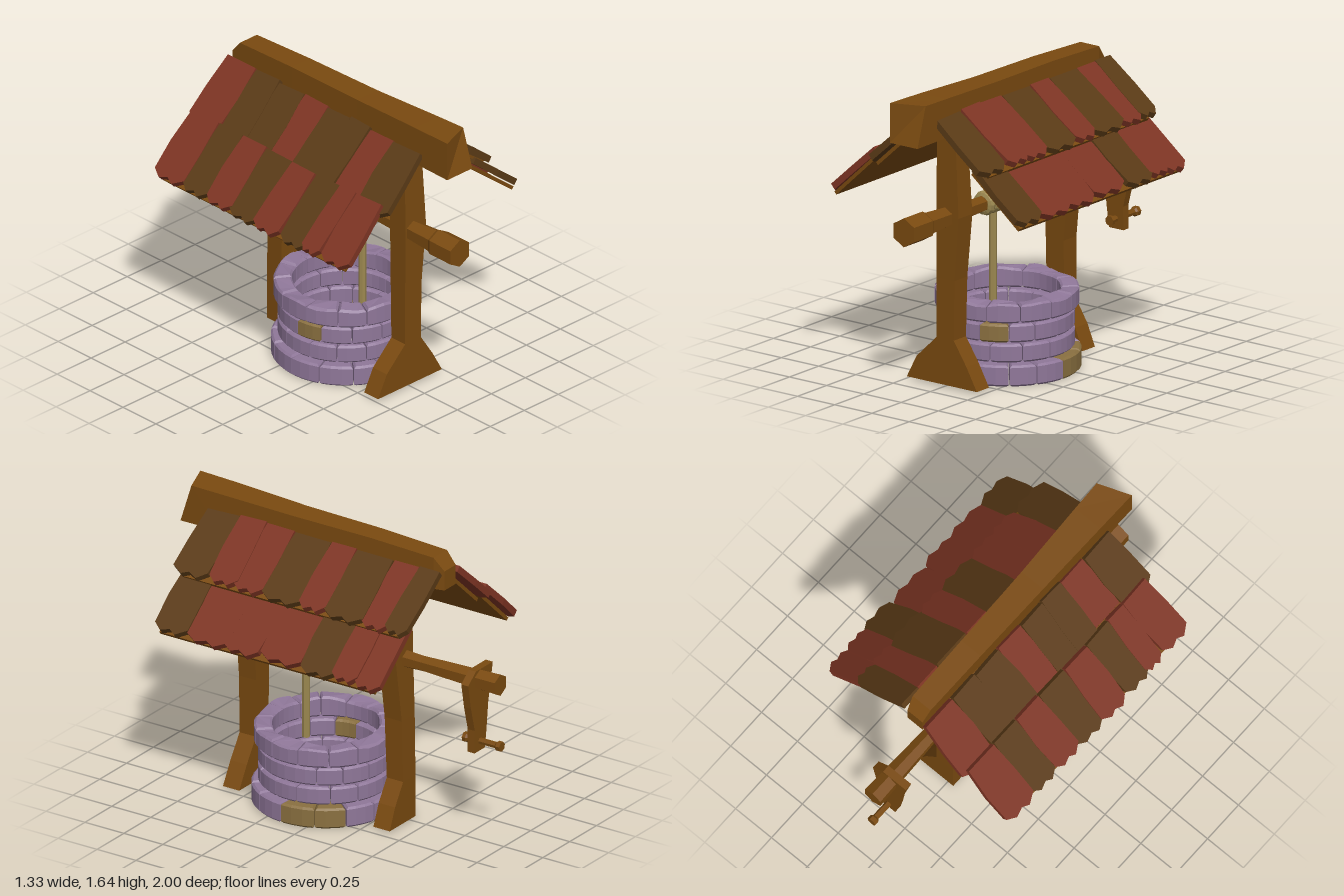
import * as THREE from 'three';

const mat = (color) => new THREE.MeshStandardMaterial({ color, flatShading: true, side: THREE.DoubleSide });
const WOOD = mat(0x7a4a10), RED = mat(0x7d3423), BROWN = mat(0x5a3a16);
const STONE = mat(0x8f7799), OCHRE = mat(0x8a7040), ROPE = mat(0x9c8850);

// Small seeded jitter in -1..1
let seed = 7;
const jitter = () => {
  seed = (seed * 16807) % 2147483647;
  return (seed / 2147483647) * 2 - 1;
};

function add(parent, name, geometry, material) {
  const mesh = new THREE.Mesh(geometry, material);
  mesh.name = name;
  parent.add(mesh);
  return mesh;
}

// Four-sided bar through stations [y, x0, x1, z0, z1]
function bar(stations) {
  const n = stations.length - 1;
  const g = new THREE.BoxGeometry(1, 1, 1, 1, n, 1);
  const p = g.attributes.position;
  for (let i = 0; i < p.count; i++) {
    const [y, x0, x1, z0, z1] = stations[Math.round((p.getY(i) + 0.5) * n)];
    p.setXYZ(i, p.getX(i) < 0 ? x0 : x1, y, p.getZ(i) < 0 ? z0 : z1);
  }
  return g;
}

// Bevelled curved stone between angles a0 and a1, measured from the front
function brick(a0, a1, rIn, rOut, y0, y1) {
  const pts = [];
  const arc = (r, from, to) => {
    for (let i = 0; i <= 3; i++) {
      const a = from + ((to - from) * i) / 3;
      pts.push(new THREE.Vector2(r * Math.sin(a), -r * Math.cos(a)));
    }
  };
  arc(rOut, a0, a1);
  arc(rIn, a1, a0);
  const b = 0.011;
  const g = new THREE.ExtrudeGeometry(new THREE.Shape(pts), {
    depth: y1 - y0 - 2 * b, bevelThickness: b, bevelSize: b, bevelOffset: -b, bevelSegments: 1,
  });
  return g.rotateX(-Math.PI / 2).translate(0, y0 + b, 0);
}

function makeWell() {
  const well = new THREE.Group();
  well.name = 'stoneWell';
  well.position.set(0.025, 0, 0.125);
  const courses = [[0, 0.115, 0.395], [0.122, 0.222, 0.36], [0.232, 0.332, 0.36], [0.345, 0.45, 0.382]];
  const ochre = [[3, 4], [], [0, 10], []];
  const n = 14, step = (Math.PI * 2) / n;
  courses.forEach(([y0, y1, r], row) => {
    const shift = row % 2 ? 0.5 : 0;
    const cuts = Array.from({ length: n }, (_, i) => (i + shift + 0.45 + jitter() * 0.12) * step);
    for (let i = 0; i < n; i++) {
      const end = i + 1 < n ? cuts[i + 1] : cuts[0] + Math.PI * 2;
      const g = brick(cuts[i] + 0.008, end - 0.008, 0.285, r, y0, y1);
      if (row === 3) { // uneven rim
        const p = g.attributes.position;
        for (let k = 0; k < p.count; k++) {
          if (p.getY(k) > 0.4) {
            p.setY(k, p.getY(k) + 0.012 * Math.sin(19 * p.getX(k) + 3) * Math.cos(17 * p.getZ(k)));
          }
        }
      }
      add(well, 'brick', g, ochre[row].includes(i) ? OCHRE : STONE);
    }
  });
  return well;
}

// Puts a flat slope piece in place: local x runs down the slope, local z is its outward normal
function placeOnSlope(g, [x0, y0], [x1, y1], z) {
  const u = new THREE.Vector3(x1 - x0, y1 - y0, 0).normalize();
  const v = new THREE.Vector3(0, 0, x1 > x0 ? -1 : 1);
  const m = new THREE.Matrix4().makeBasis(u, v, u.clone().cross(v)).setPosition(x0, y0, z);
  return g.applyMatrix4(m);
}

// Shingle with bowed sides and a ragged lower edge
function shingle(L, w) {
  const h = w / 2, k = jitter() * 0.008;
  const s = new THREE.Shape([
    [0, -h * 0.92], [L * 0.5, -h * 1.04], [L * 0.93, -h + k], [L * 1.02, -h * 0.45],
    [L * 0.97, k], [L * 1.03, h * 0.45], [L * 0.92, h + k], [L * 0.5, h * 1.02], [0, h * 0.92],
  ].map(([x, y]) => new THREE.Vector2(x, y)));
  return new THREE.ExtrudeGeometry(s, { depth: 0.036, bevelEnabled: false });
}

function makeRoof() {
  const roof = new THREE.Group();
  roof.name = 'roof';
  // Rows: top point, bottom point, colours from back to front, dividing lines in z
  const rows = [
    { a: [0.08, 1.51], b: [0.41, 1.265], c: 'brbrbrrb', z: [-0.66, -0.53, -0.37, -0.13, 0.03, 0.27, 0.45, 0.62, 0.83] },
    { a: [0.31, 1.275], b: [0.625, 1.02], c: 'rrbrrrb', z: [-0.63, -0.48, -0.33, -0.12, 0.13, 0.35, 0.6, 0.8] },
    { a: [-0.05, 1.475], b: [-0.34, 1.21], c: 'rbbrbbrb', z: [-0.67, -0.45, -0.27, -0.08, 0.1, 0.27, 0.42, 0.6, 0.81] },
    { a: [-0.33, 1.265], b: [-0.62, 0.995], c: 'rbrbrbrr', z: [-0.65, -0.44, -0.26, -0.08, 0.12, 0.3, 0.48, 0.6, 0.79] },
  ];
  for (const { a, b, c, z } of rows) {
    const L = Math.hypot(b[0] - a[0], b[1] - a[1]);
    [...c].forEach((tone, i) => {
      const g = shingle(L, z[i + 1] - z[i] + 0.008);
      g.rotateZ(jitter() * 0.04).translate(jitter() * 0.008, 0, 0.005 + jitter() * 0.006);
      placeOnSlope(g, a, b, (z[i] + z[i + 1]) / 2);
      add(roof, 'shingle', g, tone === 'r' ? RED : BROWN);
    });
    // backing board beneath each row
    const board = new THREE.BoxGeometry(L, 1.38, 0.02).translate(L / 2, 0, -0.008);
    add(roof, 'roofBoard', placeOnSlope(board, a, b, 0.09), WOOD);
  }
  // Stations along z; the depth columns hold -top and -bottom
  const beam = bar([
    [-0.66, -0.045, 0.06, -1.53, -1.42], [-0.6, -0.05, 0.075, -1.6, -1.42], [-0.2, -0.055, 0.08, -1.615, -1.42],
    [0.3, -0.06, 0.09, -1.62, -1.42], [0.75, -0.07, 0.105, -1.635, -1.42], [1, -0.075, 0.11, -1.64, -1.42],
  ]).rotateX(Math.PI / 2);
  const p = beam.attributes.position;
  for (let i = 0; i < p.count; i++) { // chipped front corner
    if (p.getZ(i) > 0.99 && p.getX(i) > 0 && p.getY(i) > 1.6) p.setZ(i, 0.93);
  }
  add(roof, 'ridgeBeam', beam, WOOD);
  return roof;
}

function makeWindlass() {
  const windlass = new THREE.Group();
  windlass.name = 'windlass';
  windlass.position.set(0.018, 0.94, 0);
  const turned = (pts, sides) => new THREE.LatheGeometry(
    pts.map(([r, z]) => new THREE.Vector2(r, z)), sides).rotateX(Math.PI / 2);
  add(windlass, 'axle', turned([
    [0, -0.99], [0.062, -0.99], [0.05, -0.62], [0.045, -0.5], [0.052, -0.34], [0.045, -0.1],
    [0.045, 0.35], [0.055, 0.62], [0.068, 0.82], [0.08, 0.84], [0.08, 1], [0, 1],
  ], 6), WOOD);

  // Rope wound on the axle, with its hanging end
  for (let i = 0; i < 9; i++) {
    add(windlass, 'ropeCoil', new THREE.TorusGeometry(0.043, 0.025, 8, 14).translate(0, 0, 0.308 - i * 0.046), ROPE);
  }
  add(windlass, 'hangingRope', new THREE.CylinderGeometry(0.021, 0.021, 0.6, 8).translate(0.01, -0.31, 0.25), ROPE);

  // Crank arm and handle
  const arm = new THREE.Shape([
    [-0.118, 0.06], [0.04, 0.06], [0.11, 0], [0.085, -0.14], [0.05, -0.28], [0.052, -0.41],
    [-0.045, -0.41], [-0.06, -0.3], [-0.075, -0.16],
  ].map(([x, y]) => new THREE.Vector2(x, y)));
  add(windlass, 'crankArm', new THREE.ExtrudeGeometry(arm, { depth: 0.045, bevelEnabled: false }).translate(0, 0, -0.86), WOOD);
  add(windlass, 'crankHandle', turned([
    [0, -1], [0.028, -1], [0.028, -0.975], [0.018, -0.965], [0.018, -0.79], [0.028, -0.78], [0.028, -0.76], [0, -0.76],
  ], 7).translate(0, -0.355, 0), WOOD);
  return windlass;
}

export function createModel() {
  const model = new THREE.Group();
  model.name = 'wishingWell';
  model.add(makeWell(), makeRoof(), makeWindlass());

  // Posts with flared feet
  add(model, 'frontPost', bar([
    [0.015, -0.24, 0.23, 0.54, 0.645], [0.14, -0.175, 0.16, 0.54, 0.645], [0.27, -0.04, 0.075, 0.54, 0.645],
    [0.6, -0.04, 0.08, 0.535, 0.645], [0.95, -0.04, 0.11, 0.53, 0.648], [1.46, -0.04, 0.08, 0.54, 0.64],
  ]), WOOD);
  add(model, 'rearPost', bar([
    [0.01, -0.04, 0.2, -0.405, -0.3], [0.13, -0.04, 0.15, -0.405, -0.3], [0.25, -0.04, 0.075, -0.405, -0.3],
    [0.6, -0.04, 0.08, -0.4, -0.29], [0.95, -0.04, 0.12, -0.39, -0.28], [1.46, -0.04, 0.08, -0.38, -0.28],
  ]), WOOD);
  return model;
}
